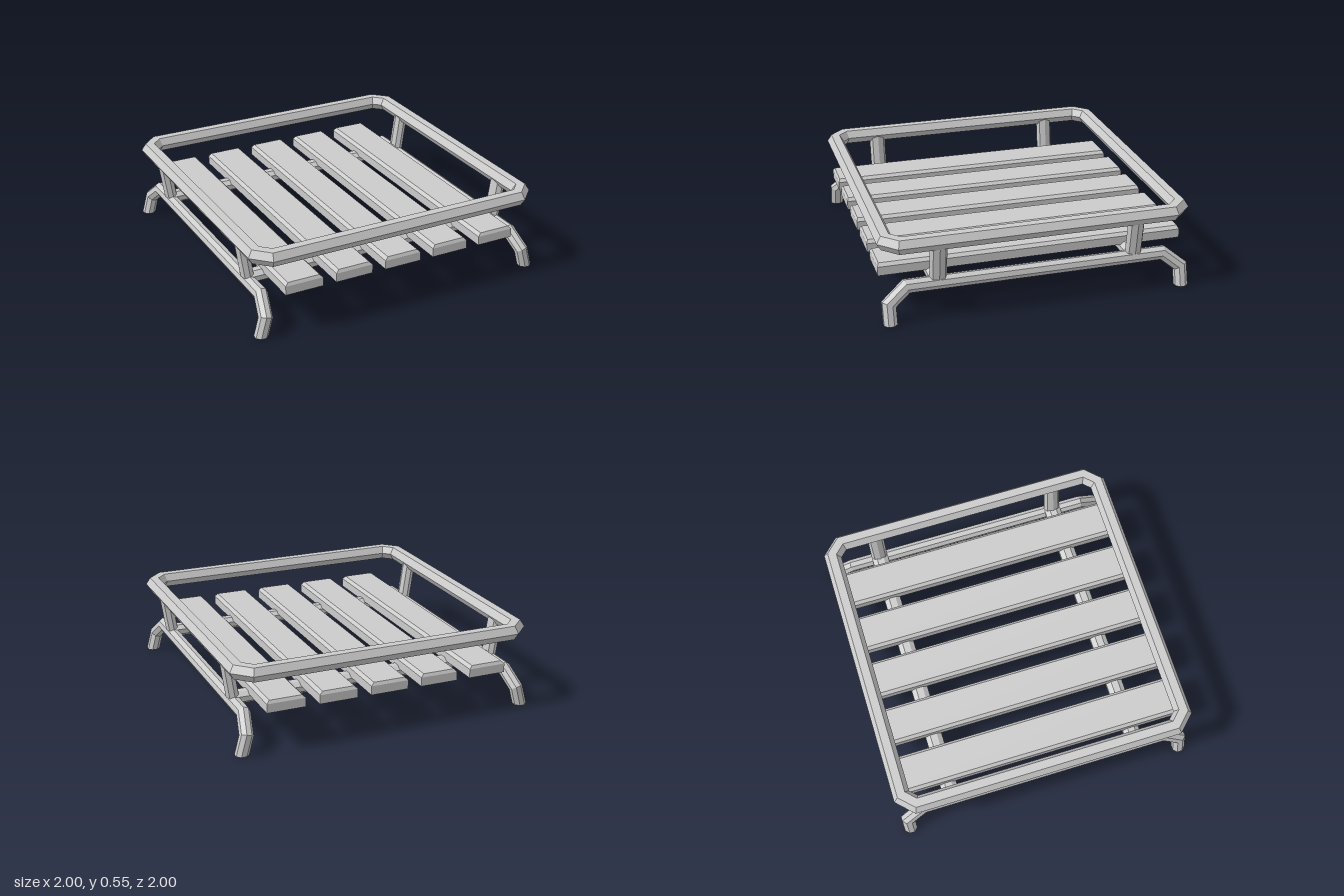
import * as THREE from 'three';
import { ConvexGeometry } from 'three/addons/geometries/ConvexGeometry.js';

const V = (x, y, z) => new THREE.Vector3(x, y, z);
const material = new THREE.MeshStandardMaterial({ color: 0xcccccc, flatShading: true });

// Regular polygon profile stretched to half-sizes a (sideways) and b (along ref)
function polygon(n, a, b, flat = false) {
  const rot = flat ? Math.PI / n : 0;
  const grow = flat ? 1 / Math.cos(rot) : 1;
  return Array.from({ length: n }, (_, i) => {
    const t = rot + (i / n) * Math.PI * 2;
    return [Math.cos(t) * a * grow, Math.sin(t) * b * grow];
  });
}

// Mitred tube along a planar path; ref is the normal of that plane
function sweep(path, profile, ref, closed = false) {
  const n = profile.length, m = path.length, verts = [], index = [];
  path.forEach((p, i) => {
    const prev = path[closed ? (i + m - 1) % m : Math.max(i - 1, 0)];
    const next = path[closed ? (i + 1) % m : Math.min(i + 1, m - 1)];
    const tin = p.clone().sub(prev).normalize();
    const tout = next.clone().sub(p).normalize();
    const tan = tin.clone().add(tout).normalize();
    const miter = 1 / Math.max(tan.dot(tin), tan.dot(tout));
    const side = ref.clone().cross(tan).normalize().multiplyScalar(miter);
    for (const [a, b] of profile) {
      verts.push(...p.clone().addScaledVector(side, a).addScaledVector(ref, b).toArray());
    }
  });
  for (let i = 0; i < (closed ? m : m - 1); i++) {
    for (let j = 0; j < n; j++) {
      const k = (i + 1) % m, l = (j + 1) % n;
      index.push(i * n + j, i * n + l, k * n + l, i * n + j, k * n + l, k * n + j);
    }
  }
  if (!closed) {
    const e = (m - 1) * n;
    for (let j = 1; j < n - 1; j++) index.push(0, j + 1, j, e, e + j, e + j + 1);
  }
  const g = new THREE.BufferGeometry();
  g.setAttribute('position', new THREE.Float32BufferAttribute(verts, 3));
  g.setIndex(index);
  return g;
}

function flatten(g) {
  const out = g.index ? g.toNonIndexed() : g;
  out.computeVertexNormals();
  return out;
}

export function createModel() {
  const group = new THREE.Group();
  const add = (name, g) => {
    const mesh = new THREE.Mesh(flatten(g), material);
    mesh.name = name;
    group.add(mesh);
  };
  const up = V(0, 1, 0);

  // Upper guard rail: hexagonal loop with cut corners
  const e = 0.945, c = 0.867, y = 0.508;
  const loop = [[e, c], [c, e], [-c, e], [-e, c], [-e, -c], [-c, -e], [c, -e], [e, -c]];
  add('guardRail', sweep(loop.map(([x, z]) => V(x, y, z)), polygon(6, 0.055, 0.053), up, true));

  // Floor slats with bevelled top edges
  for (let i = -2; i <= 2; i++) {
    const pts = [];
    for (const sx of [-1, 1]) for (const sz of [-1, 1]) {
      pts.push(V(sx * 0.125, 0.257, sz * 0.985), V(sx * 0.125, 0.315, sz * 0.985),
        V(sx * 0.105, 0.335, sz * 0.975));
    }
    const g = new ConvexGeometry(pts);
    g.translate(i * 0.341, 0, 0);
    add('slat', g);
  }

  // Cross bars under the slats, and the posts that carry the guard rail
  for (const z of [-0.633, 0.633]) {
    add('crossBar', sweep([V(-0.89, 0.236, z), V(0.89, 0.236, z)], polygon(8, 0.055, 0.04, true), up));
    for (const s of [-1, 1]) {
      add('post', sweep([V(s * 0.9, 0.25, z), V(s * 0.937, 0.5, z)],
        polygon(8, 0.042, 0.055), V(0, 0, 1)));
    }
  }

  // Side bars bending down into splayed feet, cut level at the ground
  const lean = 0.27;
  const side = [[0, 0.947], [0.118, 0.947], [0.213, 0.83], [0.213, -0.83], [0.118, -0.947], [0, -0.947]];
  for (const s of [-1, 1]) {
    const path = side.map(([h, z]) => V(s * (0.957 - lean * h), h, z));
    const g = sweep(path, polygon(8, 0.042, 0.04, true), V(s, lean, 0).normalize());
    const p = g.attributes.position;
    for (let i = 0; i < p.count; i++) {
      if (p.getY(i) < 0.05) {
        p.setX(i, p.getX(i) + s * lean * p.getY(i));
        p.setY(i, 0);
      }
    }
    add(s > 0 ? 'leftSideBar' : 'rightSideBar', g);
  }
  return group;
}
